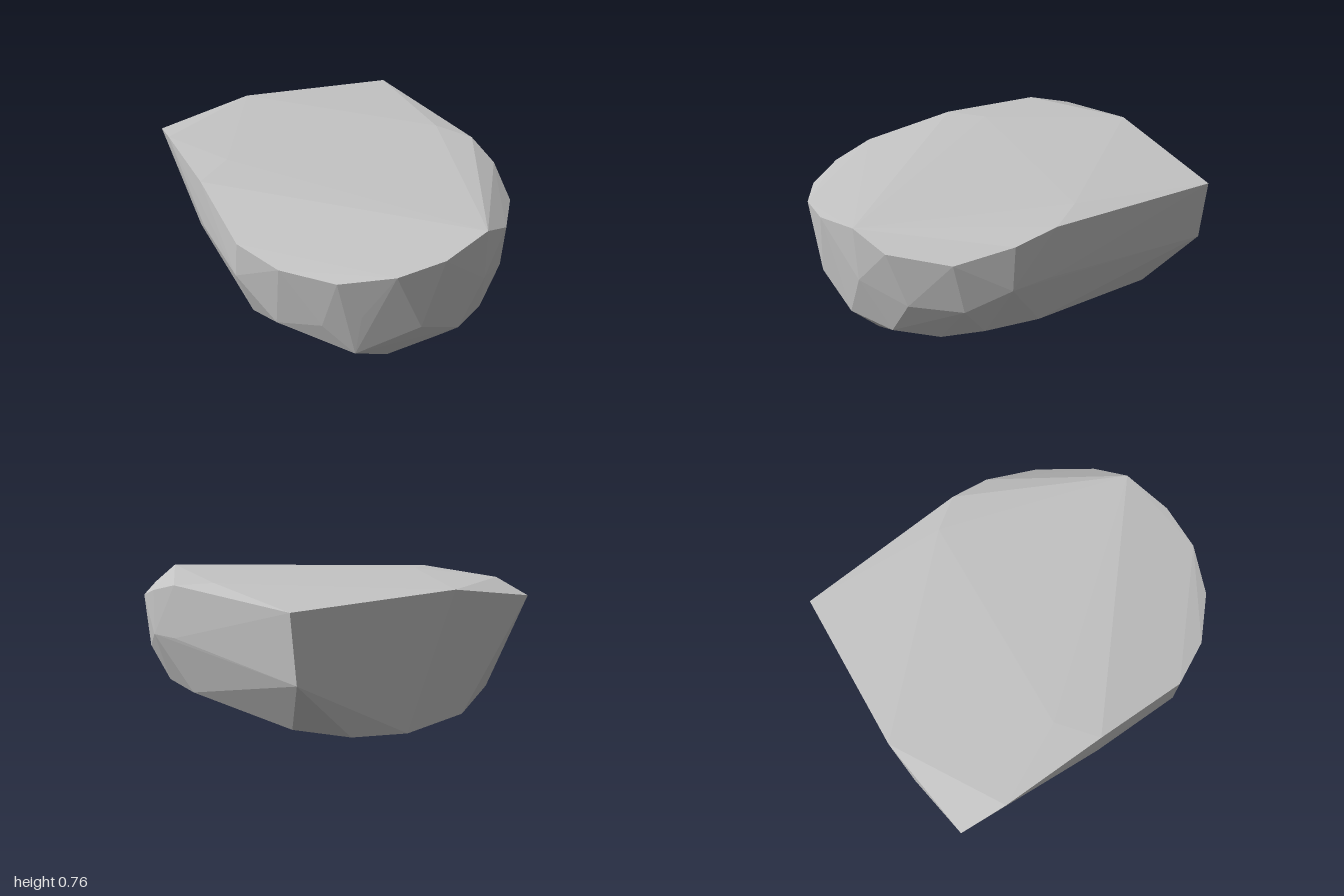
import * as THREE from 'three';
import { ConvexGeometry } from 'three/addons/geometries/ConvexGeometry.js';

// Corner points of the boulder, grouped by level (x, y, z)
const top = [
  [0.655, 0.73, -1], [-0.27, 0.765, -1], [-0.835, 0.68, -0.9], [-0.84, 0.747, -0.64],
  [-0.79, 0.752, -0.05], [-0.74, 0.67, 0.48], [-0.6, 0.635, 0.72], [-0.37, 0.62, 0.91],
  [-0.1, 0.65, 1], [0.16, 0.68, 0.99], [0.43, 0.73, 0.89], [0.6, 0.65, 0.78],
  [0.78, 0.62, 0.5], [0.835, 0.69, 0.2], [0.81, 0.742, -0.03],
  [0.66, 0.765, -0.2], [-0.6, 0.765, -0.22],
];
const sides = [
  [0.62, 0.39, -1], [0.803, 0.455, 0], [0.835, 0.445, 0.21], [0.77, 0.335, 0.44],
  [0.64, 0.355, 0.69], [0.44, 0.44, 0.88], [0.05, 0.305, 0.98], [-0.25, 0.405, 0.93],
  [-0.42, 0.33, 0.83], [-0.6, 0.27, 0.65], [-0.75, 0.47, 0.46], [-0.79, 0.47, -0.05],
];
const base = [
  [0.3, 0.09, -0.96], [0, 0.075, -1], [-0.355, 0.118, -0.975], [-0.64, 0.195, -0.82],
  [-0.725, 0.21, -0.49], [-0.61, 0.115, 0.09], [-0.66, 0.2, 0.42], [-0.27, 0.165, 0.9],
  [-0.05, 0.02, 0.8], [0.27, 0.02, 0.75], [0.3, 0.175, 0.9], [0.51, 0.145, 0.74],
  [0.6, 0.1, 0.51], [0.71, 0.155, 0.31], [0.7, 0.145, 0], [0.5, 0.1, -0.74],
  [0.35, 0.018, 0], [0.05, 0, 0.5], [-0.28, 0.015, 0.3], [-0.42, 0.04, 0.17],
];

export function createModel() {
  const group = new THREE.Group();
  group.name = 'rock';

  const stone = new THREE.MeshStandardMaterial({ color: 0xc4c4c4 });
  stone.name = 'light grey stone';

  // One faceted convex boulder
  const points = [...top, ...sides, ...base].map((p) => new THREE.Vector3(...p));
  const boulder = new THREE.Mesh(new ConvexGeometry(points), stone);
  boulder.name = 'boulder';
  group.add(boulder);
  return group;
}
